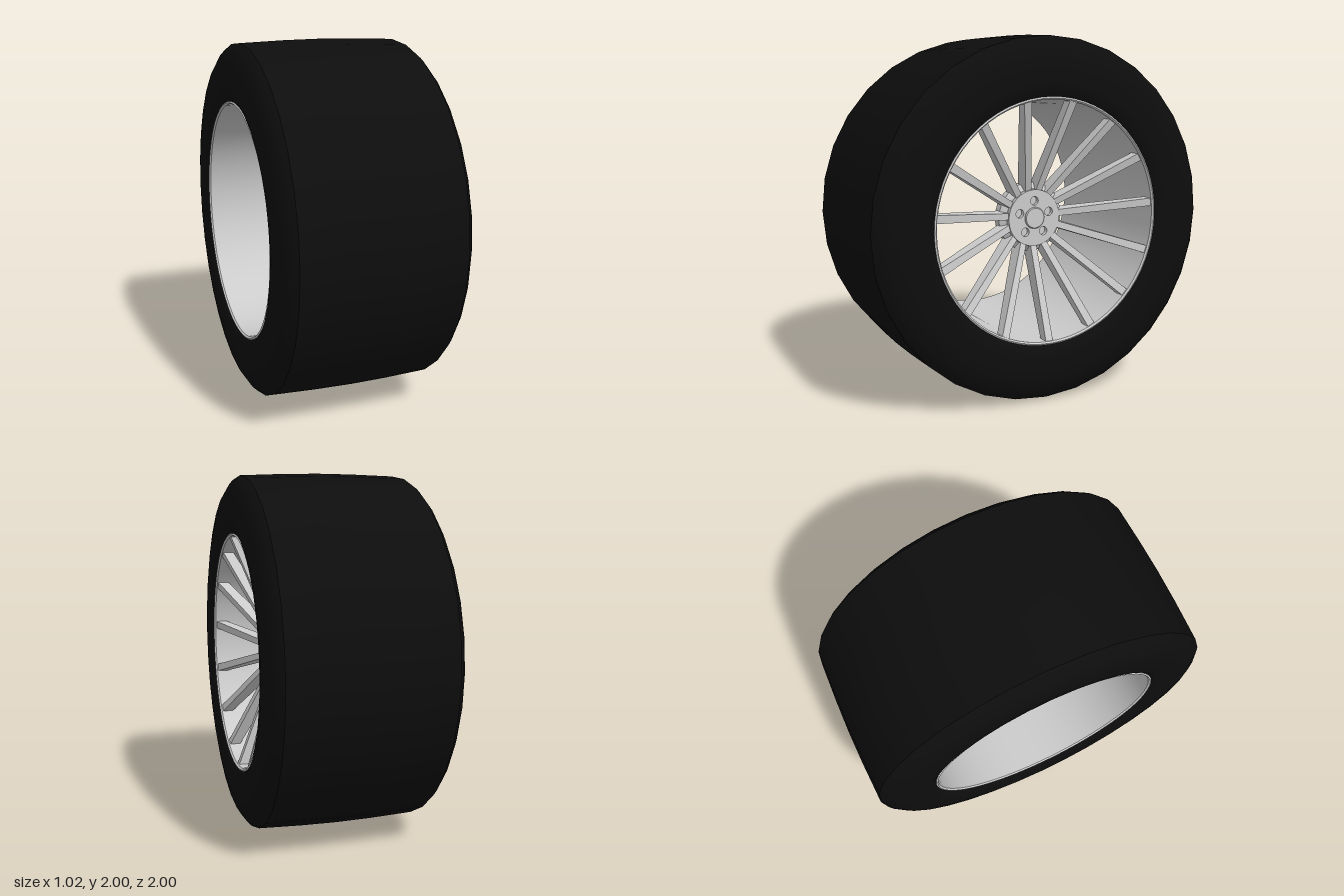
import * as THREE from 'three';
import { toCreasedNormals } from 'three/addons/utils/BufferGeometryUtils.js';

const SPOKES = 15, LUGS = 5;

// Turns a [radius, x] profile around the wheel axle (x)
function turned(profile, segments) {
  const points = profile.map(([r, x]) => new THREE.Vector2(r, x));
  const geo = new THREE.LatheGeometry(points, segments).rotateZ(-Math.PI / 2);
  return toCreasedNormals(geo, 0.6);
}

// Tapered bar leaning outwards from the hub to the rim lip
function spokeGeometry() {
  const inner = { r: 0.14, front: 0.285, depth: 0.085, wFront: 0.036, wBack: 0.046 };
  const outer = { r: 0.66, front: 0.48, depth: 0.06, wFront: 0.044, wBack: 0.046 };
  const geo = new THREE.BoxGeometry(1, 1, 1);
  const p = geo.attributes.position;
  for (let i = 0; i < p.count; i++) {
    const end = p.getY(i) > 0 ? outer : inner;
    const isFront = p.getX(i) > 0;
    const width = isFront ? end.wFront : end.wBack;
    p.setXYZ(i, end.front - (isFront ? 0 : end.depth), end.r, p.getZ(i) * width);
  }
  geo.computeVertexNormals();
  return geo;
}

export function createModel() {
  const wheel = new THREE.Group();
  wheel.name = 'wheel';
  wheel.position.y = 1;
  const rubber = new THREE.MeshStandardMaterial({ color: 0x0d0d0d });
  const metal = new THREE.MeshStandardMaterial({ color: 0xcccccc });
  const add = (name, geo, material, parent = wheel) => {
    const mesh = new THREE.Mesh(geo, material);
    mesh.name = name;
    parent.add(mesh);
    return mesh;
  };

  // Tyre: half section mirrored about its middle
  const half = [[1, 0], [0.997, 0.2], [0.988, 0.445], [0.965, 0.468], [0.92, 0.495],
    [0.845, 0.51], [0.75, 0.51], [0.695, 0.503], [0.668, 0.485]];
  const mirrored = half.slice(1).reverse().map(([r, x]) => [r, -x]);
  add('tyre', turned([...mirrored, ...half, mirrored[0]], 32), rubber);

  // Rim: open barrel with a thin lip at both ends
  add('rim', turned([[0.672, -0.49], [0.672, 0.49], [0.664, 0.495], [0.656, 0.485],
    [0.656, -0.485], [0.664, -0.495], [0.672, -0.49]], 64), metal);

  // Spokes
  const spokes = new THREE.Group();
  spokes.name = 'spokes';
  wheel.add(spokes);
  const bar = spokeGeometry();
  for (let i = 0; i < SPOKES; i++) {
    add('spoke', bar, metal, spokes).rotation.x = Math.PI + (i * 2 * Math.PI) / SPOKES;
  }

  // Hub body
  add('hub', turned([[0, 0.2], [0.195, 0.2], [0.195, 0.25], [0.16, 0.275], [0, 0.275]], 32), metal);

  // Hub face with lug holes
  const disc = new THREE.Shape().absarc(0, 0, 0.158, 0, Math.PI * 2);
  for (let i = 0; i < LUGS; i++) {
    const a = Math.PI / 2 + (i * 2 * Math.PI) / LUGS;
    disc.holes.push(new THREE.Path().absarc(0.095 * Math.cos(a), 0.095 * Math.sin(a), 0.024, 0, Math.PI * 2, true));
  }
  const face = new THREE.ExtrudeGeometry(disc, { depth: 0.03, bevelEnabled: false, curveSegments: 16 });
  face.rotateY(Math.PI / 2).translate(0.27, 0, 0);
  add('hubFace', toCreasedNormals(face, 0.6), metal);

  // Centre cap
  add('centreCap', turned([[0.06, 0.29], [0.06, 0.305], [0.055, 0.31], [0, 0.31]], 32), metal);

  const model = new THREE.Group();
  model.name = 'model';
  model.add(wheel);
  return model;
}
